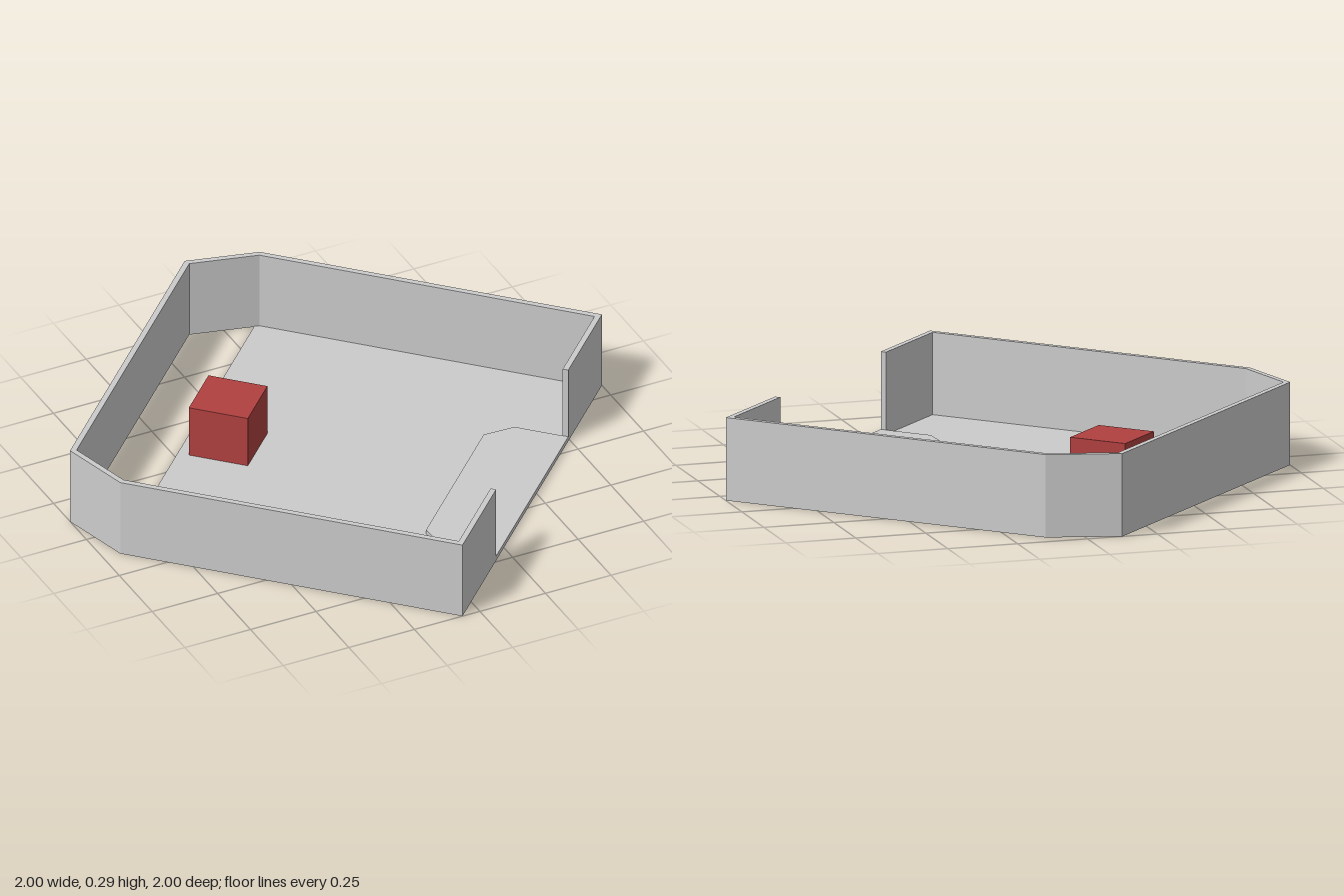
import * as THREE from 'three';

const grey = new THREE.MeshStandardMaterial({ color: 0xcccccc, flatShading: true, side: THREE.DoubleSide });
const red = new THREE.MeshStandardMaterial({ color: 0xb04040, flatShading: true });

// Upright prism over a plan outline of [x, z] points
function prism(name, plan, height) {
  const shape = new THREE.Shape(plan.map(([x, z]) => new THREE.Vector2(x, -z)));
  const geometry = new THREE.ExtrudeGeometry(shape, { depth: height, bevelEnabled: false });
  geometry.rotateX(-Math.PI / 2);
  const mesh = new THREE.Mesh(geometry, grey);
  mesh.name = name;
  return mesh;
}

// Completes a half outline with its mirror image across x = 0
const mirrored = (half) => [...half, ...half.map(([x, z]) => [-x, z]).reverse()];

export function createModel() {
  const model = new THREE.Group();
  model.name = 'walledRoom';
  const room = new THREE.Group();
  room.name = 'room';
  room.rotation.y = Math.PI / 4;
  model.add(room);

  // Continuous wall: outer face from the doorway round to the other side, then the inner face back
  const outer = [[0.39, 0.66], [0.754, 0.66], [0.754, -0.57], [0.62, -0.795]];
  const inner = [[0.39, 0.64], [0.734, 0.64], [0.734, -0.565], [0.609, -0.775]];
  room.add(prism('walls', [...mirrored(outer), ...mirrored(inner).reverse()], 0.29));

  // Thin floor, leaving an opening along the back wall
  const floor = new THREE.Mesh(new THREE.PlaneGeometry(1.48, 1.24), grey);
  floor.name = 'floor';
  floor.rotation.x = -Math.PI / 2;
  floor.position.set(0, 0.002, 0.04);
  room.add(floor);

  // Raised threshold with clipped inner corners
  const threshold = mirrored([[0.39, 0.66], [0.39, 0.467], [0.311, 0.382]]);
  room.add(prism('threshold', threshold, 0.018));

  // Coloured block near the back
  const block = new THREE.Mesh(new THREE.BoxGeometry(0.212, 0.195, 0.212), red);
  block.name = 'block';
  block.position.set(0.003, 0.0975, -0.434);
  room.add(block);

  return model;
}
